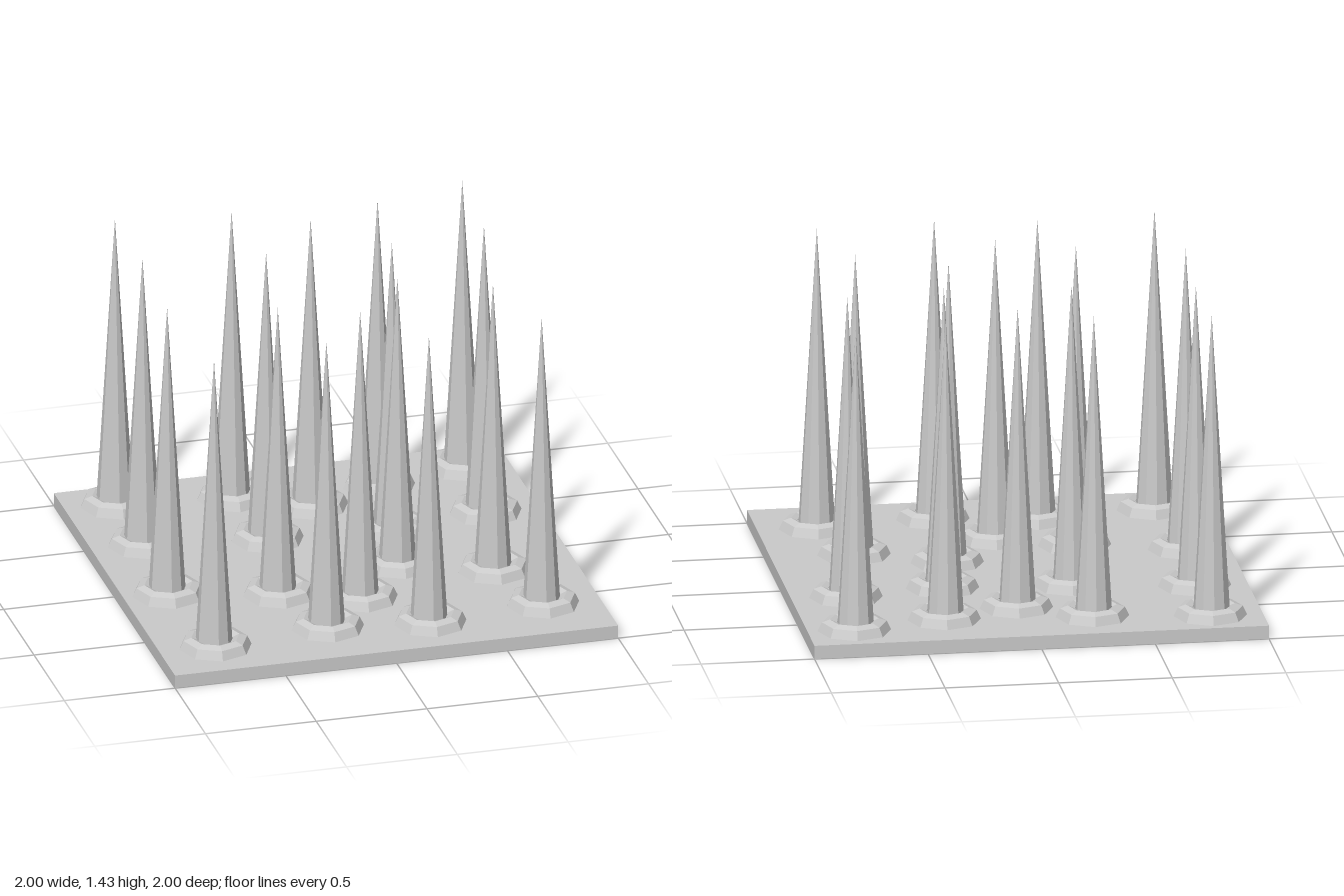
import * as THREE from 'three';

const material = new THREE.MeshStandardMaterial({
  color: 0xcccccc, flatShading: true, side: THREE.DoubleSide,
});

// Spike centres on the plate: [x, z]
const SPOTS = [
  [-0.77, -0.81], [-0.26, -0.75], [0.05, -0.58], [0.385, -0.70], [0.795, -0.80],
  [-0.765, -0.375], [-0.23, -0.29], [0.325, -0.245], [0.76, -0.315],
  [-0.80, 0.16], [-0.335, 0.285], [0.25, 0.12], [0.635, 0.29], [0, 0.42],
  [-0.75, 0.75], [-0.225, 0.685], [0.22, 0.75], [0.745, 0.69],
];
const PLATE = 0.06;
const HEIGHT = 1.43;

function add(parent, name, geometry) {
  const mesh = new THREE.Mesh(geometry, material);
  mesh.name = name;
  parent.add(mesh);
  return mesh;
}

export function createModel() {
  const model = new THREE.Group();
  model.name = 'spikeTrap';

  // Shallow base, hollow underneath
  const base = new THREE.Group();
  base.name = 'base';
  model.add(base);
  add(base, 'baseTop', new THREE.PlaneGeometry(2, 2).rotateX(-Math.PI / 2)).position.y = PLATE;
  const walls = new THREE.CylinderGeometry(Math.SQRT2, Math.SQRT2, PLATE, 4, 1, true, Math.PI / 4);
  add(base, 'baseWalls', walls).position.y = PLATE / 2;

  // Open-bottomed spike that passes through the plate
  const spikeGeometry = new THREE.ConeGeometry(0.086, HEIGHT, 10, 1, true);
  spikeGeometry.translate(0, HEIGHT / 2, 0);

  // Eight-sided bevelled collar
  const collarProfile = [[0.161, PLATE], [0.142, 0.1], [0.107, 0.112], [0.08, 0.1]]
    .map(([r, y]) => new THREE.Vector2(r, y));
  const collarGeometry = new THREE.LatheGeometry(collarProfile, 8);
  collarGeometry.rotateY(-0.06);

  for (const [x, z] of SPOTS) {
    const unit = new THREE.Group();
    unit.name = 'spikeUnit';
    unit.position.set(x, 0, z);
    add(unit, 'spike', spikeGeometry).position.x = -0.006;
    add(unit, 'collar', collarGeometry);
    model.add(unit);
  }
  return model;
}
